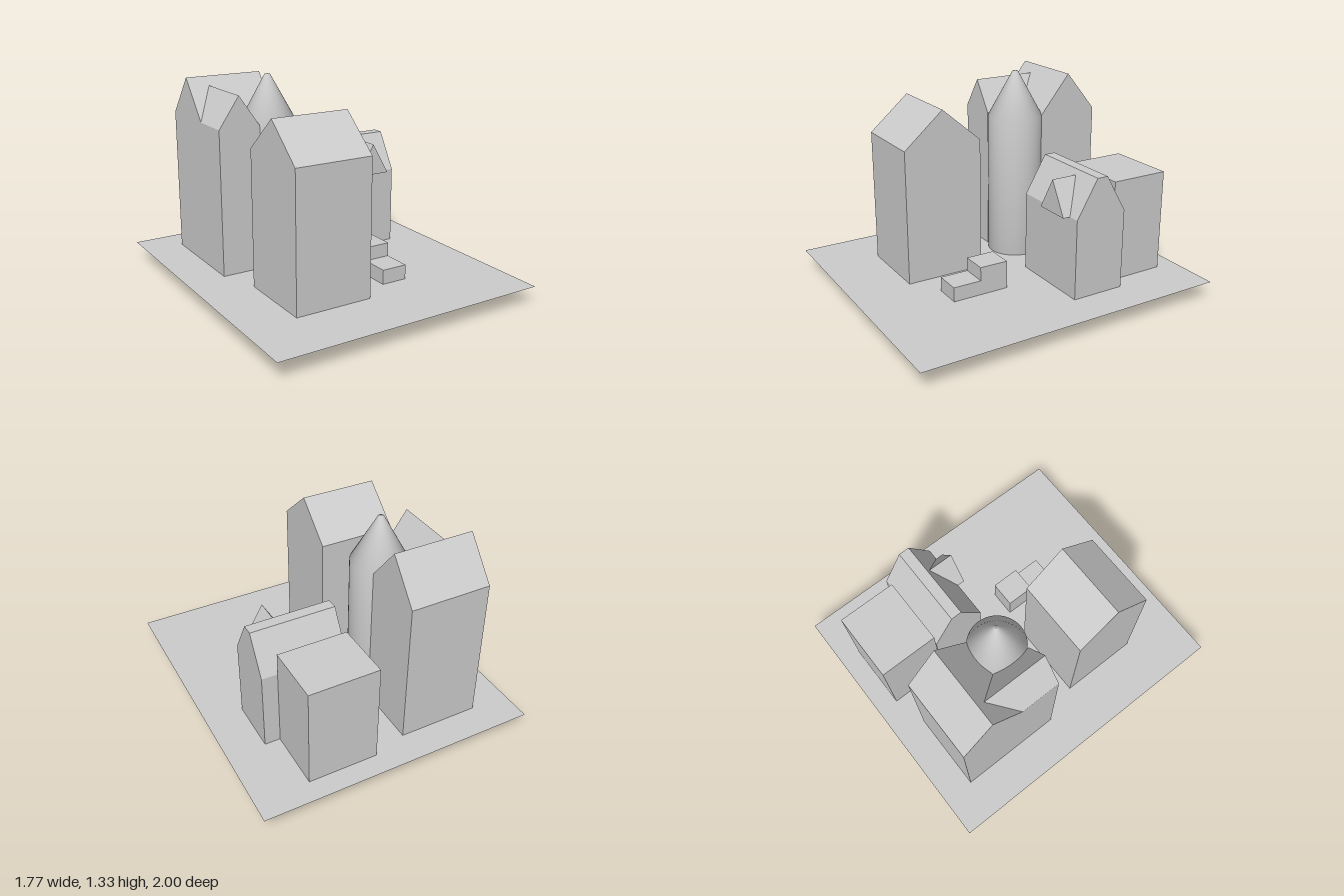
import * as THREE from 'three';

const GROUND = 0.115;

// Prism from a (z, y) outline, running along x
function alongX(points, x0, x1) {
  const shape = new THREE.Shape(points.map(([z, y]) => new THREE.Vector2(-z, y)));
  const geo = new THREE.ExtrudeGeometry(shape, { depth: x1 - x0, bevelEnabled: false });
  return geo.rotateY(Math.PI / 2).translate(x0, 0, 0);
}

// Prism from an (x, y) outline, running along z
function alongZ(points, z0, z1) {
  const shape = new THREE.Shape(points.map(([x, y]) => new THREE.Vector2(x, y)));
  const geo = new THREE.ExtrudeGeometry(shape, { depth: z1 - z0, bevelEnabled: false });
  return geo.translate(0, 0, z0);
}

// House outline: walls up to the eaves, then a gable
const gable = (a, b, eave, ridge) => [
  [a, GROUND], [b, GROUND], [b, eave], [(a + b) / 2, ridge], [a, eave],
];

export function createModel() {
  const model = new THREE.Group();
  const grey = new THREE.MeshStandardMaterial({ color: 0xcccccc, side: THREE.DoubleSide });
  grey.name = 'stoneGrey';

  const add = (name, geo) => {
    const mesh = new THREE.Mesh(geo, grey);
    mesh.name = name;
    model.add(mesh);
    return mesh;
  };

  // Ground sheet
  add('ground', new THREE.PlaneGeometry(1.77, 2).rotateX(-Math.PI / 2)).position.y = GROUND;

  // Tall house at the front
  add('frontHouse', alongX(gable(0.105, 0.615, 0.97, 1.19), -0.55, -0.055));

  // Tall house at the back with a gabled wing towards the front
  add('backHouse', alongX(gable(-0.8, -0.39, 1.04, 1.29), -0.635, -0.12));
  add('backHouseWing', alongZ(gable(-0.635, -0.365, 1.04, 1.235), -0.55, -0.13));

  // Low house with a flat-topped roof and a dormer
  add('lowHouse', alongX([
    [-0.135, GROUND], [-0.135, 0.62], [-0.272, 0.855],
    [-0.343, 0.855], [-0.48, 0.62], [-0.48, GROUND],
  ], 0.102, 0.642));
  add('dormer', alongZ([[0.335, 0.62], [0.57, 0.62], [0.4525, 0.825]], -0.088, -0.252));

  // Flat-roofed annex behind the low house
  const annex = new THREE.BoxGeometry(0.443, 0.653, 0.381);
  add('annex', annex).position.set(0.3225, 0.4385, -0.6735);

  // Two-level steps
  add('steps', alongX([
    [0.125, GROUND], [0.49, GROUND], [0.49, 0.207],
    [0.308, 0.207], [0.308, 0.293], [0.125, 0.293],
  ], 0.127, 0.295));

  // Round tower with a pointed roof, reaching below the ground
  const profile = [[0, 0], [0.176, 0], [0.176, 1.035], [0.018, 1.325], [0, 1.33]]
    .map(([r, y]) => new THREE.Vector2(r, y));
  add('roundTower', new THREE.LatheGeometry(profile, 48)).position.set(-0.2375, 0, -0.261);

  return model;
}
